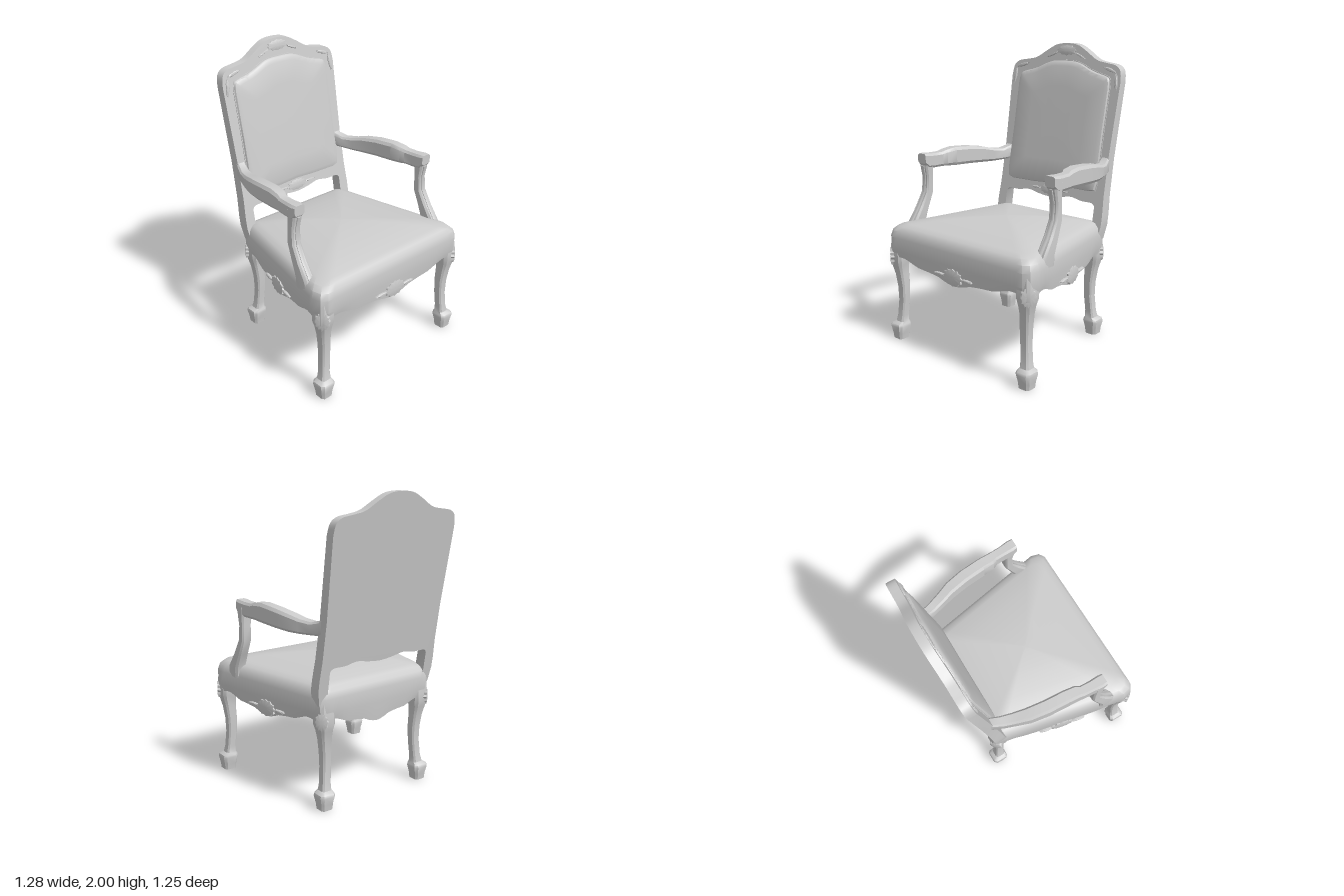
import * as THREE from 'three';
import { toCreasedNormals } from 'three/addons/utils/BufferGeometryUtils.js';

const material = new THREE.MeshStandardMaterial({ color: 0xcccccc });

function add(parent, name, geometry, crease = 0.6) {
  const mesh = new THREE.Mesh(toCreasedNormals(geometry, crease), material);
  mesh.name = name;
  parent.add(mesh);
  return mesh;
}

// Skin a stack of equal-length rings of [x, y, z], capped at both ends, facing outward.
function loft(rings) {
  const n = rings[0].length, pos = rings.flat(2), idx = [];
  rings.slice(1).forEach((_, i) => {
    for (let j = 0; j < n; j++) {
      const a = i * n + j, b = i * n + (j + 1) % n;
      idx.push(a, b, b + n, a, b + n, a + n);
    }
  });
  [[rings[0], 0, true], [rings.at(-1), (rings.length - 1) * n, false]].forEach(([ring, start, first]) => {
    const c = pos.length / 3;
    for (let k = 0; k < 3; k++) pos.push(ring.reduce((s, p) => s + p[k], 0) / n);
    for (let j = 0; j < n; j++) {
      const a = start + j, b = start + (j + 1) % n;
      idx.push(c, first ? b : a, first ? a : b);
    }
  });
  // Signed volume decides the winding
  const v = (i) => new THREE.Vector3(pos[3 * i], pos[3 * i + 1], pos[3 * i + 2]);
  let volume = 0;
  for (let i = 0; i < idx.length; i += 3) volume += v(idx[i]).dot(v(idx[i + 1]).cross(v(idx[i + 2])));
  if (volume < 0) idx.reverse();
  const g = new THREE.BufferGeometry();
  g.setAttribute('position', new THREE.Float32BufferAttribute(pos, 3));
  g.setIndex(idx);
  return g.toNonIndexed();
}

// Rectangular section with chamfered corners; returns [u, v] offsets
const section = (hu, hv) => [[1, -0.68], [1, 0.68], [0.68, 1], [-0.68, 1], [-1, 0.68], [-1, -0.68], [-0.68, -1], [0.68, -1]]
  .map(([u, v]) => [u * hu, v * hv]);
const levelRing = ([x, y, z, hx, hz]) => section(hx, hz).map(([u, v]) => [x + u, y, z + v]);
const uprightRing = ([x, y, z, hx, hy]) => section(hx, hy).map(([u, v]) => [x + u, y + v, z]);
const mirrorX = (s, rings) => rings.map((r) => r.map(([x, y, z]) => [s * x, y, z]));

// The back rakes rearward and thins toward the crest
const rake = (y, d) => -0.41 - (y - 0.73) * 0.168 + d * (1 - 0.28 * (y - 0.73) / 1.27);
const RAKE_ANGLE = -Math.atan(0.168);

// Low carved relief with a jagged rim
function carving(parent, name, w, h, x = 0, y = 0, turn = 0, teeth = 12) {
  const rim = (s, z) => Array.from({ length: teeth * 2 }, (_, i) => {
    const a = i * Math.PI / teeth, r = s * (i % 2 ? 0.84 : 1);
    return [Math.cos(a) * w * r, Math.sin(a) * h * r, z];
  });
  const m = add(parent, name, loft([rim(1, -0.02), rim(1, 0.005), rim(0.6, 0.01), rim(0.1, 0.011)]));
  m.position.set(x, y, 0);
  m.rotation.z = turn;
}

// Shell flanked by two slim leaves; a null droop leaves the shell alone
function shellGroup(parent, name, w, h, position, ry = 0, rx = 0, droop = 0) {
  const g = new THREE.Group();
  g.name = name;
  carving(g, 'shell', w, h);
  if (droop !== null) for (const s of [1, -1])
    carving(g, 'leaf', w * 0.6, h * 0.2, s * w * 1.4, -droop * w, -s * droop, 9);
  g.position.set(...position);
  g.rotation.set(rx, ry, 0);
  parent.add(g);
}

// Lower edge of the apron, from middle (t = 0) to leg (t = 1)
const EDGE = [[0, 0.52], [0.12, 0.528], [0.25, 0.552], [0.4, 0.562], [0.6, 0.569], [0.75, 0.595], [0.87, 0.61], [1, 0.595]];
function edgeHeight(t) {
  const i = Math.max(1, EDGE.findIndex((e) => e[0] >= t));
  const [a, b] = [EDGE[i - 1], EDGE[i]];
  return THREE.MathUtils.lerp(a[1], b[1], (t - a[0]) / (b[0] - a[0]));
}

function buildSeat(parent) {
  const corners = [[-0.575, 0.607], [0.575, 0.607], [0.615, 0.58], [0.63, 0.52], [0.455, -0.36], [0.445, -0.405],
    [0.41, -0.425], [-0.41, -0.425], [-0.445, -0.405], [-0.455, -0.36], [-0.63, 0.52], [-0.615, 0.58]];
  const outline = [];
  corners.forEach(([x, z], i) => {
    const [x2, z2] = corners[(i + 1) % corners.length];
    const long = Math.hypot(x2 - x, z2 - z) > 0.3, steps = long ? 24 : 1;
    for (let k = 0; k < steps; k++) {
      const f = k / steps;
      outline.push([x + (x2 - x) * f, z + (z2 - z) * f, long ? edgeHeight(Math.abs(2 * f - 1)) : 0.595]);
    }
  });
  const ring = (s, y) => outline.map(([x, z, e]) => [x * s, y ?? e, 0.09 + (z - 0.09) * s]);
  // Hollow underside, scalloped apron, then the domed upholstery
  add(parent, 'seatAndApron', loft([ring(0.87, 0.7), ring(0.9), ring(0.98), ring(1, 0.65), ring(1, 0.74),
    ring(0.98, 0.785), ring(0.93, 0.814), ring(0.85, 0.828), ring(0.6, 0.855), ring(0.3, 0.876), ring(0.04, 0.886)]));

  shellGroup(parent, 'frontApronCarving', 0.085, 0.058, [0, 0.583, 0.606]);
  for (const s of [1, -1]) {
    shellGroup(parent, 'sideApronCarving', 0.085, 0.058, [s * 0.542, 0.583, 0.07], s * Math.atan2(0.88, -0.175));
    shellGroup(parent, 'frontKneeCarving', 0.048, 0.065, [s * 0.606, 0.595, 0.585], s * 0.85, 0, null);
    shellGroup(parent, 'rearKneeCarving', 0.042, 0.06, [s * 0.437, 0.6, -0.41], s * 2.3, 0, null);
  }
}

// Cabriole leg; x and z are offsets outward from the foot centre
const LEG = [[0, 0, 0, 0.042], [0, 0.04, 0, 0.046], [0, 0.092, 0, 0.057], [0, 0.108, -0.002, 0.053], [-0.008, 0.125, -0.01, 0.036],
  [-0.013, 0.17, -0.014, 0.031], [-0.022, 0.28, -0.021, 0.031], [-0.022, 0.38, -0.021, 0.034], [-0.014, 0.47, -0.016, 0.038],
  [-0.008, 0.53, -0.01, 0.046], [-0.006, 0.57, -0.01, 0.056], [-0.006, 0.63, -0.01, 0.056], [-0.006, 0.71, -0.01, 0.046]];
function buildLeg(parent, name, sx, sz, fx, fz) {
  add(parent, name, loft(mirrorX(sx, LEG.map(([x, y, z, r]) => levelRing([fx + x, y, sz * (fz + z), r, r])))), 0.7);
}

function buildArm(parent, s) {
  const arm = new THREE.Group();
  arm.name = s > 0 ? 'leftArm' : 'rightArm';
  add(arm, 'armrest', loft(mirrorX(s, [[0.425, 1.225, -0.46, 0.028, 0.07], [0.43, 1.2, -0.42, 0.034, 0.048],
    [0.452, 1.19, -0.36, 0.037, 0.04], [0.478, 1.193, -0.28, 0.04, 0.046], [0.503, 1.204, -0.2, 0.044, 0.056],
    [0.523, 1.216, -0.08, 0.045, 0.062], [0.533, 1.224, 0.06, 0.044, 0.064], [0.54, 1.222, 0.14, 0.042, 0.056],
    [0.55, 1.217, 0.17, 0.036, 0.05], [0.554, 1.217, 0.24, 0.037, 0.05], [0.557, 1.222, 0.3, 0.042, 0.05],
    [0.557, 1.238, 0.332, 0.038, 0.034]].map(uprightRing))));
  add(arm, 'armSupport', loft(mirrorX(s, [[0.558, 1.23, 0.288, 0.038, 0.04], [0.56, 1.17, 0.285, 0.036, 0.034],
    [0.562, 1.1, 0.278, 0.033, 0.026], [0.564, 1.0, 0.282, 0.034, 0.031], [0.568, 0.9, 0.33, 0.036, 0.04],
    [0.57, 0.8, 0.385, 0.04, 0.056], [0.572, 0.73, 0.39, 0.034, 0.058]].map(levelRing))));
  // Raised flute down the face of the support
  add(arm, 'supportMoulding', loft(mirrorX(s, [[0.558, 1.19, 0.325, 0.012, 0.006], [0.562, 1.1, 0.304, 0.011, 0.006],
    [0.564, 1.0, 0.313, 0.011, 0.006], [0.568, 0.9, 0.37, 0.012, 0.006], [0.57, 0.8, 0.441, 0.013, 0.006]].map(levelRing))));
  parent.add(arm);
}

function buildBack(parent) {
  const curve = (pts, n) => new THREE.SplineCurve([...pts, ...pts.slice(0, -1).reverse().map(([x, y]) => [-x, y])]
    .map((p) => new THREE.Vector2(...p))).getPoints(n);
  const flip = (pts) => pts.map(([x, y]) => [-x, y]).reverse();
  const vec = (pts) => pts.map((p) => new THREE.Vector2(...p));

  // Posts, panel and crest in one raked slab
  const crest = curve([[0.474, 1.76], [0.462, 1.83], [0.42, 1.866], [0.34, 1.88], [0.26, 1.897], [0.17, 1.95], [0.09, 1.99], [0, 2]], 48);
  const rail = curve([[0.395, 0.92], [0.37, 0.942], [0.28, 0.943], [0.19, 0.958], [0.1, 0.942], [0, 0.932]], 32);
  const post = [[0.45, 0.7], [0.468, 0.8], [0.468, 0.87], [0.46, 1.0], [0.458, 1.25]];
  const shape = new THREE.Shape([...vec(post), ...crest, ...vec(flip(post)), new THREE.Vector2(-0.395, 0.7),
    ...rail.reverse(), new THREE.Vector2(0.395, 0.7)]);
  const frame = new THREE.ExtrudeGeometry(shape, { depth: 0.08, bevelEnabled: false });
  const p = frame.attributes.position;
  for (let i = 0; i < p.count; i++) p.setZ(i, rake(p.getY(i), p.getZ(i)));
  add(parent, 'backFrame', frame);

  // Upholstered panel with a narrow border
  const top = curve([[0.395, 1.72], [0.385, 1.775], [0.35, 1.795], [0.25, 1.82], [0.12, 1.872], [0, 1.88]], 32);
  const side = [[0, 1.03], [0.15, 1.022], [0.34, 1.02], [0.385, 1.032], [0.395, 1.08], [0.392, 1.4]];
  const outline = [...vec(side), ...top, ...vec(flip(side.slice(1)))];
  const ring = (s, d) => outline.map(({ x, y }) => {
    const yy = 1.45 + (y - 1.45) * s;
    return [x * s, yy, rake(yy, d)];
  });
  add(parent, 'backPad', loft([ring(1.015, 0.06), ring(1.015, 0.086), ring(1, 0.086), ring(0.985, 0.1),
    ring(0.92, 0.112), ring(0.6, 0.116), ring(0.05, 0.117)]));

  shellGroup(parent, 'crestCarving', 0.085, 0.037, [0, 1.952, rake(1.952, 0.08)], 0, RAKE_ANGLE, 0.4);
  shellGroup(parent, 'lowerRailCarving', 0.085, 0.04, [0, 0.983, rake(0.983, 0.08)], 0, RAKE_ANGLE);
  for (const s of [1, -1]) {
    const g = new THREE.Group();
    g.name = 'shoulderCarving';
    carving(g, 'leaf', 0.06, 0.013, 0, 0, s * 1.7, 9);
    carving(g, 'leaf', 0.055, 0.012, -s * 0.06, 0.082, -s * 0.3, 9);
    g.position.set(s * 0.44, 1.755, rake(1.755, 0.08));
    g.rotation.x = RAKE_ANGLE;
    parent.add(g);
  }
}

export function createModel() {
  const chair = new THREE.Group();
  chair.name = 'armchair';
  buildSeat(chair);
  buildBack(chair);
  for (const s of [1, -1]) {
    buildArm(chair, s);
    buildLeg(chair, 'frontLeg', s, 1, 0.572, 0.557);
    buildLeg(chair, 'rearLeg', s, -1, 0.398, 0.382);
  }
  return chair;
}
